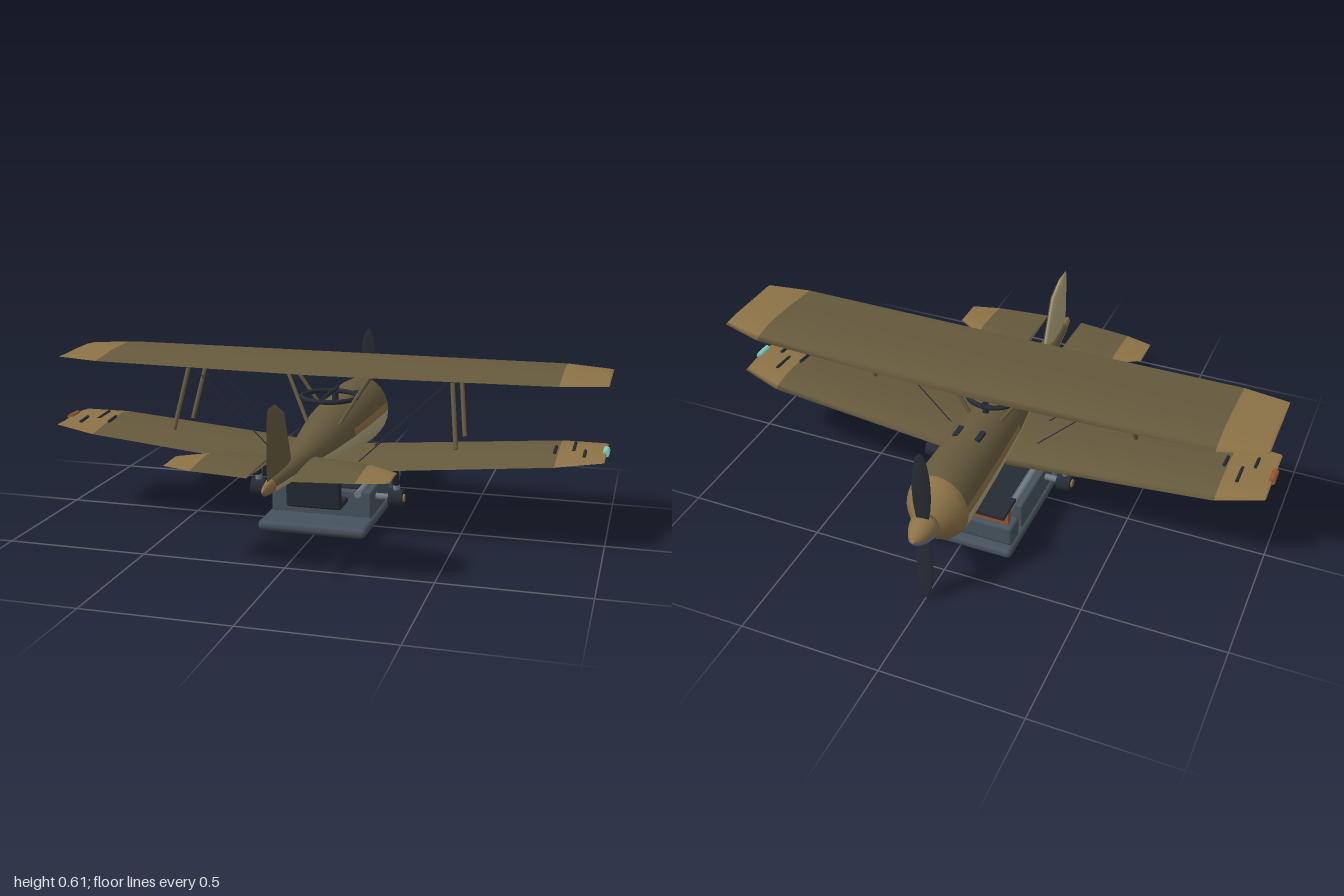
import * as THREE from 'three';
import { RoundedBoxGeometry } from 'three/addons/geometries/RoundedBoxGeometry.js';

const mat = (name, color, side = THREE.FrontSide) =>
  Object.assign(new THREE.MeshStandardMaterial({ color, side }), { name });

const V = (x, y, z) => new THREE.Vector3(x, y, z);

// Skins a row of equal-sized loops; pick(i, j) chooses the material index
function loft(loops, closed, pick) {
  const n = loops[0].length, count = closed ? n : n - 1;
  const g = new THREE.BufferGeometry().setFromPoints(loops.flat());
  const index = [];
  for (let i = 0; i < loops.length - 1; i++) {
    for (let j = 0; j < count; j++) {
      const k = (j + 1) % n, a = i * n, b = a + n;
      g.addGroup(index.length, 6, pick(i, j));
      index.push(a + j, a + k, b + k, a + j, b + k, b + j);
    }
  }
  g.setIndex(index);
  g.computeVertexNormals();
  return g;
}

// Aerofoil outline: trailing edge, underside, nose, upper side
const FOIL = [[1, 0], [0.6, -0.3], [0.25, -0.4], [0.05, -0.25], [0, 0], [0.05, 0.3], [0.25, 0.6], [0.6, 0.45], [1, 0]];

// sections: [x, leading z, trailing z, y, thickness]; materials: under, upper, tip
function wing(sections, isTip) {
  const loops = sections.map(([x, z0, z1, y, t]) =>
    FOIL.map(([u, v]) => V(x, y + v * t, z0 + (z1 - z0) * u)));
  return loft(loops, false, (i, j) => (j < 4 ? 0 : isTip(i) ? 2 : 1));
}

const mirrorSections = (half) => [...half].reverse().map(([x, ...r]) => [-x, ...r]);

export function createModel() {
  const olive = mat('olive brown', 0x665a3d, THREE.DoubleSide);
  const cream = mat('cream', 0xb2a77e, THREE.DoubleSide);
  const tan = mat('tan', 0x8c7246, THREE.DoubleSide);
  const slate = mat('slate', 0x46535d);
  const dark = mat('dark navy', 0x252c34);
  const grey = mat('steel grey', 0x717a84);
  const rust = mat('rust orange', 0x94572f);
  const cyan = mat('pale cyan', 0x7fd0c0);

  const root = new THREE.Group();
  root.name = 'biplaneRide';
  const add = (name, geo, material, x = 0, y = 0, z = 0) => {
    const m = new THREE.Mesh(geo, material);
    m.name = name;
    m.position.set(x, y, z);
    root.add(m);
    return m;
  };
  const rod = (name, a, b, r, material, sides = 8) => {
    const d = b.clone().sub(a);
    const m = add(name, new THREE.CylinderGeometry(r, r, d.length(), sides), material);
    m.position.copy(a).add(b).multiplyScalar(0.5);
    m.quaternion.setFromUnitVectors(V(0, 1, 0), d.normalize());
    return m;
  };
  // Box given by its limits, with optional rounding
  const box = (name, material, x0, x1, y0, y1, z0, z1, r = 0) => add(name,
    r ? new RoundedBoxGeometry(x1 - x0, y1 - y0, z1 - z0, 2, r) : new THREE.BoxGeometry(x1 - x0, y1 - y0, z1 - z0),
    material, (x0 + x1) / 2, (y0 + y1) / 2, (z0 + z1) / 2);

  // Fuselage: [z, bottom, top, half width]
  const body = [
    [-0.622, 0.304, 0.306, 0.001], [-0.62, 0.265, 0.345, 0.045], [-0.585, 0.215, 0.4, 0.08],
    [-0.555, 0.19, 0.425, 0.103], [-0.53, 0.182, 0.435, 0.11], [-0.45, 0.18, 0.442, 0.111],
    [-0.25, 0.198, 0.434, 0.108], [-0.05, 0.216, 0.42, 0.098], [0.15, 0.243, 0.388, 0.074],
    [0.35, 0.272, 0.365, 0.05], [0.52, 0.288, 0.354, 0.033], [0.64, 0.297, 0.346, 0.02],
    [0.7, 0.305, 0.338, 0.01], [0.72, 0.32, 0.324, 0.001]];
  const N = 24;
  const rings = body.map(([z, b, t, w]) => Array.from({ length: N }, (_, j) => {
    const a = (j / N) * Math.PI * 2;
    return V(w * Math.cos(a), (b + t) / 2 + ((t - b) / 2) * Math.sin(a), z);
  }));
  add('fuselage', loft(rings, true, (i, j) => {
    if (i < 4 || i > 10) return 2;
    if (j >= N / 2) return 0;
    return (j === 0 || j === N / 2 - 1) && i < 7 ? 2 : 1;
  }), [cream, olive, tan]);

  // Main wings
  const upper = [[0.3, -0.262, 0.136, 0.575, 0.043], [0.83, -0.245, 0.132, 0.58, 0.036],
    [0.985, -0.2, 0.105, 0.583, 0.014], [0.99, -0.195, 0.1, 0.583, 0]];
  const lower = [[0.1, -0.17, 0.19, 0.25, 0.055], [0.83, -0.165, 0.182, 0.319, 0.036],
    [0.985, -0.12, 0.145, 0.335, 0.016], [0.99, -0.115, 0.14, 0.335, 0]];
  const tips = (i) => i < 2 || i > 5;
  add('upperWing', wing([...mirrorSections(upper), [0, -0.268, 0.138, 0.573, 0.046], ...upper], tips), [cream, olive, tan]);
  add('lowerWing', wing([...mirrorSections(lower), [0, -0.17, 0.19, 0.243, 0.055], ...lower], tips), [cream, olive, tan]);

  // Tailplane halves, standing a little off the fuselage
  const stab = [[0.07, 0.37, 0.665, 0.348, 0], [0.071, 0.37, 0.665, 0.348, 0.022], [0.27, 0.425, 0.64, 0.35, 0.02],
    [0.368, 0.49, 0.612, 0.351, 0.01], [0.372, 0.492, 0.61, 0.351, 0]];
  add('tailplaneLeft', wing(stab, (i) => i > 1), [cream, olive, tan]);
  add('tailplaneRight', wing(mirrorSections(stab), (i) => i < 2), [cream, olive, tan]);

  // Fin: a wing turned upright
  const fin = wing([[0.33, 0.42, 0.672, 0, 0.03], [0.38, 0.44, 0.674, 0, 0.032], [0.53, 0.505, 0.67, 0, 0.026],
    [0.565, 0.575, 0.662, 0, 0.014], [0.572, 0.59, 0.655, 0, 0]], () => false);
  add('fin', fin.rotateZ(Math.PI / 2), [olive, cream, tan]);

  // Spinner halves and propeller
  const cone = [[0, 0], [0.046, 0], [0.05, 0.022], [0.041, 0.055], [0.022, 0.09], [0, 0.106]]
    .map(([r, y]) => new THREE.Vector2(r, y));
  [['spinnerTop', tan, -Math.PI / 2], ['spinnerUnderside', grey, Math.PI / 2]].forEach(([name, m, phi]) =>
    add(name, new THREE.LatheGeometry(cone, 12, phi, Math.PI).rotateX(-Math.PI / 2), m, 0, 0.305, -0.618));
  for (const s of [-1, 1]) {
    const blade = add('propellerBlade', new THREE.SphereGeometry(1, 14, 12), dark, 0, 0.305 + s * 0.155, -0.645);
    blade.scale.set(0.032, 0.15, 0.005);
    blade.rotation.y = s * 0.08;
  }

  // Cockpit ring, its gun and the cowl guns
  add('cockpitRing', new THREE.TorusGeometry(0.1, 0.009, 8, 28).rotateX(Math.PI / 2), dark, 0, 0.46, -0.05);
  rod('ringPost', V(0, 0.41, -0.13), V(0, 0.46, -0.13), 0.012, dark);
  rod('ringGun', V(0, 0.47, 0.02), V(0, 0.47, -0.16), 0.008, dark);

  for (const s of [-1, 1]) {
    box('cowlGun', dark, s * 0.04 - 0.009, s * 0.04 + 0.009, 0.415, 0.433, -0.3, -0.245);

    // Wing struts, centre struts and bracing wires
    rod('wingStrut', V(s * 0.475, 0.57, 0.115), V(s * 0.505, 0.36, 0.192), 0.008, olive);
    rod('wingStrut', V(s * 0.475, 0.565, -0.07), V(s * 0.505, 0.36, 0.01), 0.008, olive);
    rod('centreStrut', V(s * 0.165, 0.565, -0.12), V(s * 0.06, 0.41, -0.135), 0.007, olive);
    rod('centreStrut', V(s * 0.165, 0.565, -0.05), V(s * 0.06, 0.38, 0.03), 0.007, olive);
    rod('bracingWire', V(s * 0.46, 0.565, 0.09), V(s * 0.13, 0.25, 0.105), 0.002, dark, 5);
    rod('bracingWire', V(s * 0.46, 0.565, -0.045), V(s * 0.13, 0.25, -0.06), 0.002, dark, 5);

    // Dark fittings and lamps at the lower wing tips
    [[0.82, 0.06, 0], [0.88, 0.02, -0.07], [0.92, 0.09, 0.03]].forEach(([x, z0, z1]) =>
      rod('tipFitting', V(s * x, 0.338, z0), V(s * x, 0.344, z1), 0.006, dark, 6));
    rod('tipLamp', V(s * 0.988, 0.34, 0.04), V(s * 0.988, 0.34, -0.022), 0.012, s > 0 ? cyan : rust);

    // Side rails and hand controls
    rod('sideRail', V(s * 0.155, 0.158, 0.14), V(s * 0.155, 0.158, -0.32), 0.013, grey, 10);
    rod('controlAxle', V(s * 0.17, 0.11, -0.016), V(s * 0.27, 0.11, -0.016), 0.012, grey);
    rod('controlHub', V(s * 0.235, 0.11, -0.016), V(s * 0.285, 0.11, -0.016), 0.033, dark, 16);
    rod('hubCap', V(s * 0.28, 0.11, -0.016), V(s * 0.291, 0.11, -0.016), 0.015, tan, 12);
    rod('controlColumn', V(s * 0.26, 0.14, -0.014), V(s * 0.26, 0.25, -0.014), 0.013, grey, 10);
    rod('controlGrip', V(s * 0.26, 0.165, -0.008), V(s * 0.26, 0.245, 0.025), 0.014, dark, 10);
  }

  // Base slab with its dark underside
  box('baseSlab', slate, -0.197, 0.197, 0.014, 0.05, -0.385, 0.198, 0.016);
  box('baseUnderside', dark, -0.18, 0.18, 0.01, 0.016, -0.368, 0.182);

  // Machine housing, front case, foot panel and tray
  box('housing', slate, -0.185, 0.185, 0.04, 0.146, -0.245, 0.062, 0.008);
  box('housingLid', dark, -0.13, 0.13, 0.144, 0.151, -0.22, 0.04);
  box('frontCase', slate, -0.19, 0.19, 0.05, 0.13, -0.356, -0.28, 0.012);
  box('footPanel', rust, -0.17, 0.17, 0.12, 0.2, -0.34, -0.31);
  box('footTray', dark, -0.178, 0.178, 0.198, 0.212, -0.397, -0.288);

  // Seat
  box('seat', dark, -0.1, 0.1, 0.1, 0.122, 0.05, 0.155, 0.008);
  const back = box('seatBack', dark, -0.1, 0.1, 0.1, 0.252, 0.143, 0.171, 0.01);
  back.rotation.x = 0.12;
  return root;
}
